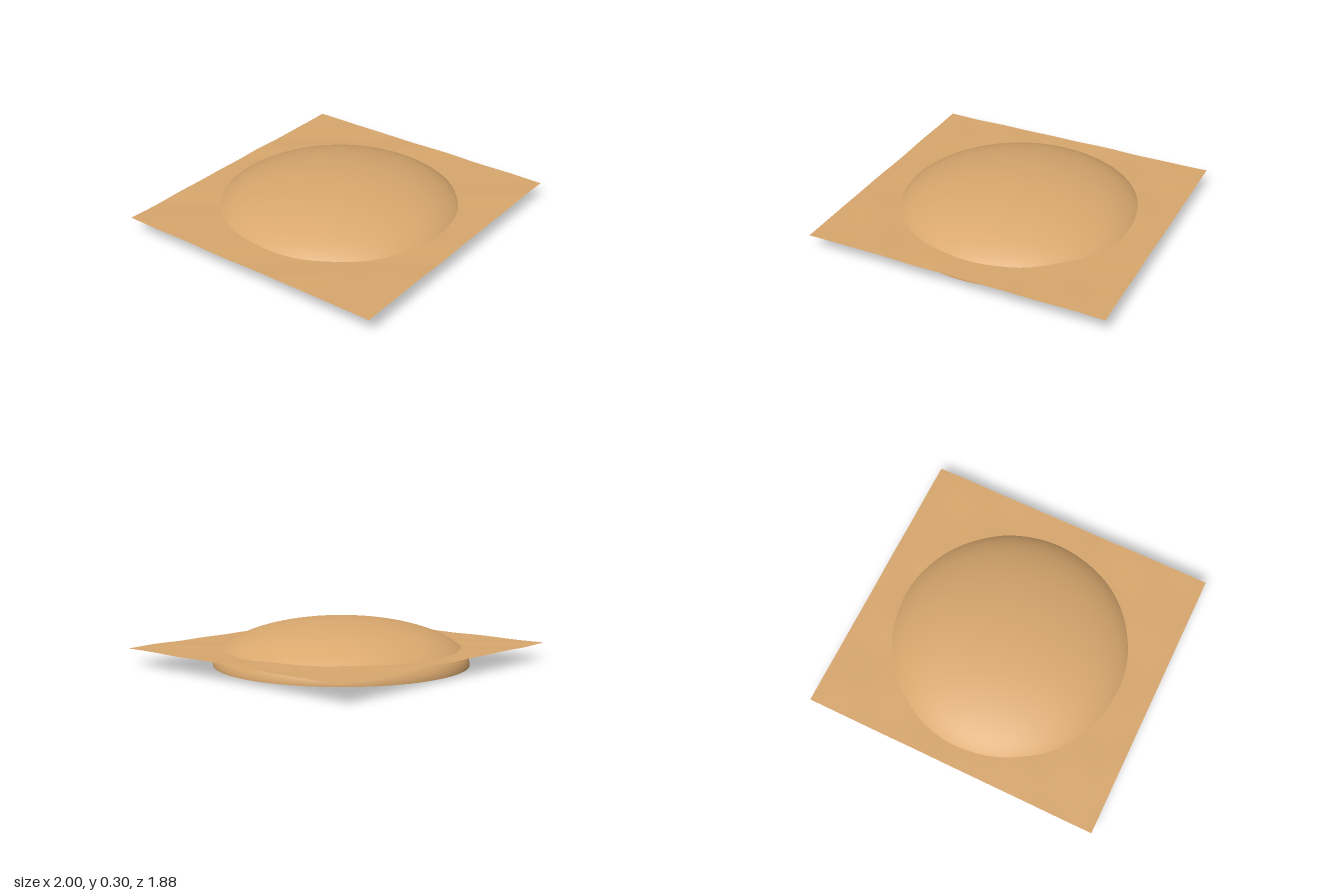
import * as THREE from 'three';

export function createModel() {
  const model = new THREE.Group();
  model.name = 'domeOnSand';
  const sand = new THREE.MeshStandardMaterial({ color: 0xd9a86e, side: THREE.DoubleSide });
  sand.name = 'sand';

  // Thin, gently rippled ground sheet that runs on beneath the dome
  const sheetGeo = new THREE.PlaneGeometry(2, 1.875, 48, 48).rotateX(-Math.PI / 2);
  const p = sheetGeo.attributes.position;
  for (let i = 0; i < p.count; i++) {
    const x = p.getX(i), z = p.getZ(i);
    const ripple = Math.sin(7 * x + 3 * z) * Math.cos(9 * z - 2 * x) + 0.5 * Math.sin(15 * x - 11 * z);
    p.setY(i, 0.11 + 0.0025 * ripple);
  }
  sheetGeo.computeVertexNormals();
  const sheet = new THREE.Mesh(sheetGeo, sand);
  sheet.name = 'groundSheet';

  // Open-bottomed flattened hemisphere
  const domeGeo = new THREE.SphereGeometry(1, 72, 32, 0, Math.PI * 2, 0, Math.PI / 2).scale(0.84, 0.296, 0.84);
  const dome = new THREE.Mesh(domeGeo, sand);
  dome.name = 'dome';
  dome.position.set(0.005, 0, -0.024);

  model.add(sheet, dome);
  return model;
}
